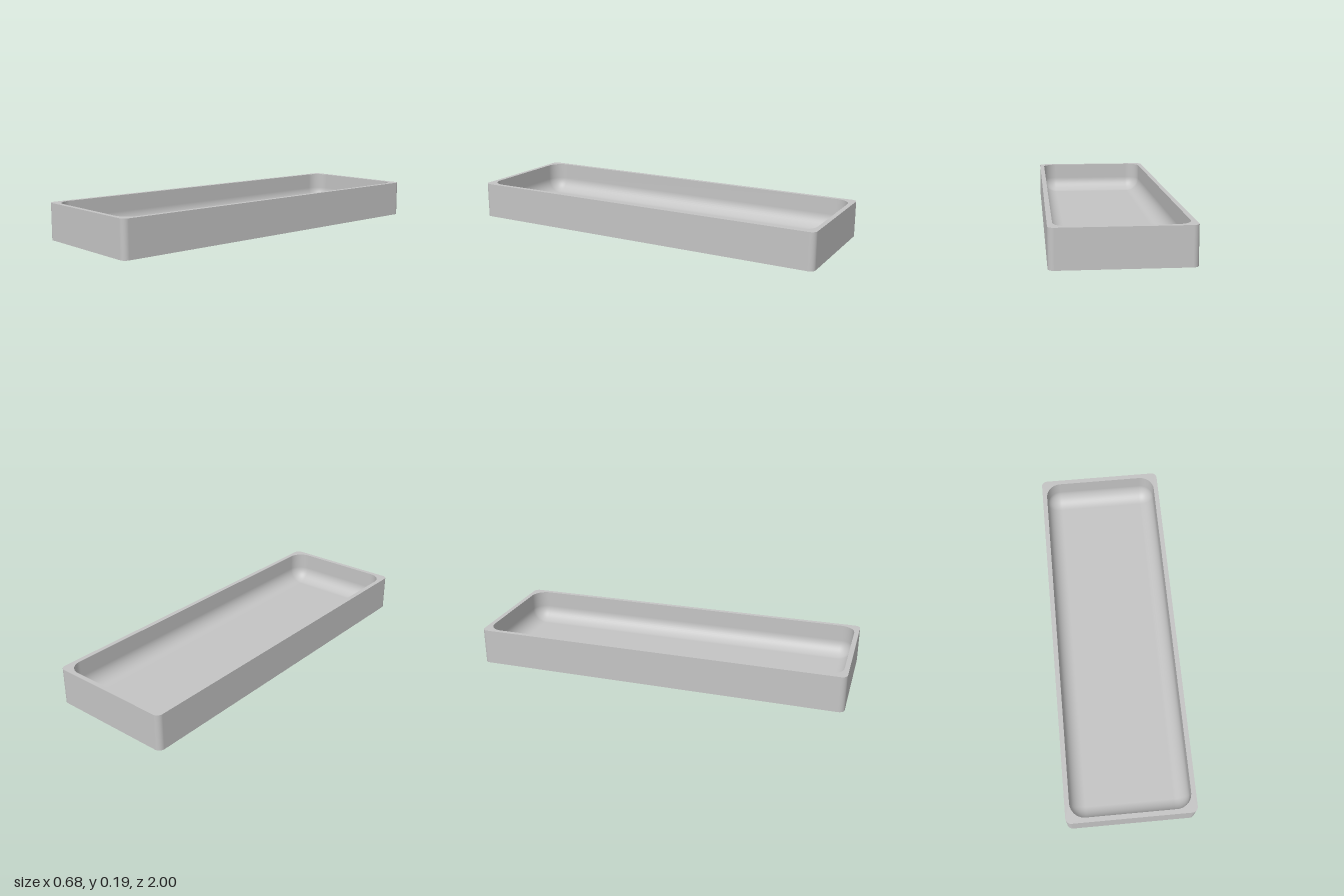
import * as THREE from 'three';

const HX = 0.34, HZ = 1, HEIGHT = 0.194, OUTER_R = 0.03; // outer block
const CX = 0.315, CZ = 0.975, FILLET = 0.08, FLOOR = 0.025; // cavity
const SEG = 12; // segments per quarter turn

// Rounded rectangle loop as [x, z, directionX, directionZ]
function loop(hx, hz, r) {
  const pts = [];
  for (let q = 0; q < 4; q++) {
    const sx = q === 0 || q === 3 ? 1 : -1, sz = q < 2 ? 1 : -1;
    for (let i = 0; i <= SEG; i++) {
      const a = (q + i / SEG) * Math.PI / 2, c = Math.cos(a), s = Math.sin(a);
      pts.push([sx * (hx - r) + r * c, sz * (hz - r) + r * s, c, s]);
    }
  }
  return pts;
}

// Skin between rings { hx, hz, r, y, out, up }; out and up give the smooth normal
function loft(rings) {
  const pos = [], nor = [], idx = [], n = 4 * (SEG + 1);
  rings.forEach((k, j) => {
    for (const [x, z, dx, dz] of loop(k.hx, k.hz, k.r)) {
      pos.push(x, k.y, z);
      nor.push(dx * k.out, k.up, dz * k.out);
    }
    if (j === 0) return;
    for (let i = 0; i < n; i++) {
      const a = (j - 1) * n + i, b = (j - 1) * n + (i + 1) % n;
      idx.push(a, a + n, b, b, a + n, b + n);
    }
  });
  const g = new THREE.BufferGeometry();
  g.setAttribute('position', new THREE.Float32BufferAttribute(pos, 3));
  g.setAttribute('normal', new THREE.Float32BufferAttribute(nor, 3));
  g.setIndex(idx);
  return g;
}

// Flat horizontal face, optionally with a hole
function plate(outer, y, facingUp, hole) {
  const points = (l) => l.map(([x, z]) => new THREE.Vector2(x, z));
  const shape = new THREE.Shape(points(outer));
  if (hole) shape.holes.push(new THREE.Path(points(hole)));
  return new THREE.ShapeGeometry(shape)
    .rotateX(facingUp ? -Math.PI / 2 : Math.PI / 2)
    .translate(0, y, 0);
}

export function createModel() {
  const group = new THREE.Group();
  group.name = 'tray';
  const grey = new THREE.MeshStandardMaterial({ color: 0xc4c4c4 });
  grey.name = 'plain grey';
  const add = (name, geometry) => {
    const mesh = new THREE.Mesh(geometry, grey);
    mesh.name = name;
    group.add(mesh);
  };

  // Outside walls with small rounded vertical corners
  const outer = { hx: HX, hz: HZ, r: OUTER_R, out: 1, up: 0 };
  add('outerWall', loft([{ ...outer, y: 0 }, { ...outer, y: HEIGHT }]));

  // Inside walls running down into a rounded cove at the floor
  const rings = [{ hx: CX, hz: CZ, r: FILLET, y: HEIGHT, out: -1, up: 0 }];
  for (let i = 0; i <= SEG; i++) {
    const t = i / SEG * Math.PI / 2, inset = FILLET * (1 - Math.cos(t));
    rings.push({
      hx: CX - inset, hz: CZ - inset, r: FILLET - inset,
      y: FLOOR + FILLET * (1 - Math.sin(t)),
      out: -Math.cos(t), up: Math.sin(t),
    });
  }
  add('innerWall', loft(rings));

  // Flat rim, floor and underside
  const outline = loop(HX, HZ, OUTER_R);
  add('rim', plate(outline, HEIGHT, true, loop(CX, CZ, FILLET)));
  const floor = new THREE.PlaneGeometry(2 * (CX - FILLET), 2 * (CZ - FILLET));
  add('floor', floor.rotateX(-Math.PI / 2).translate(0, FLOOR, 0));
  add('underside', plate(outline, 0, false));
  return group;
}
